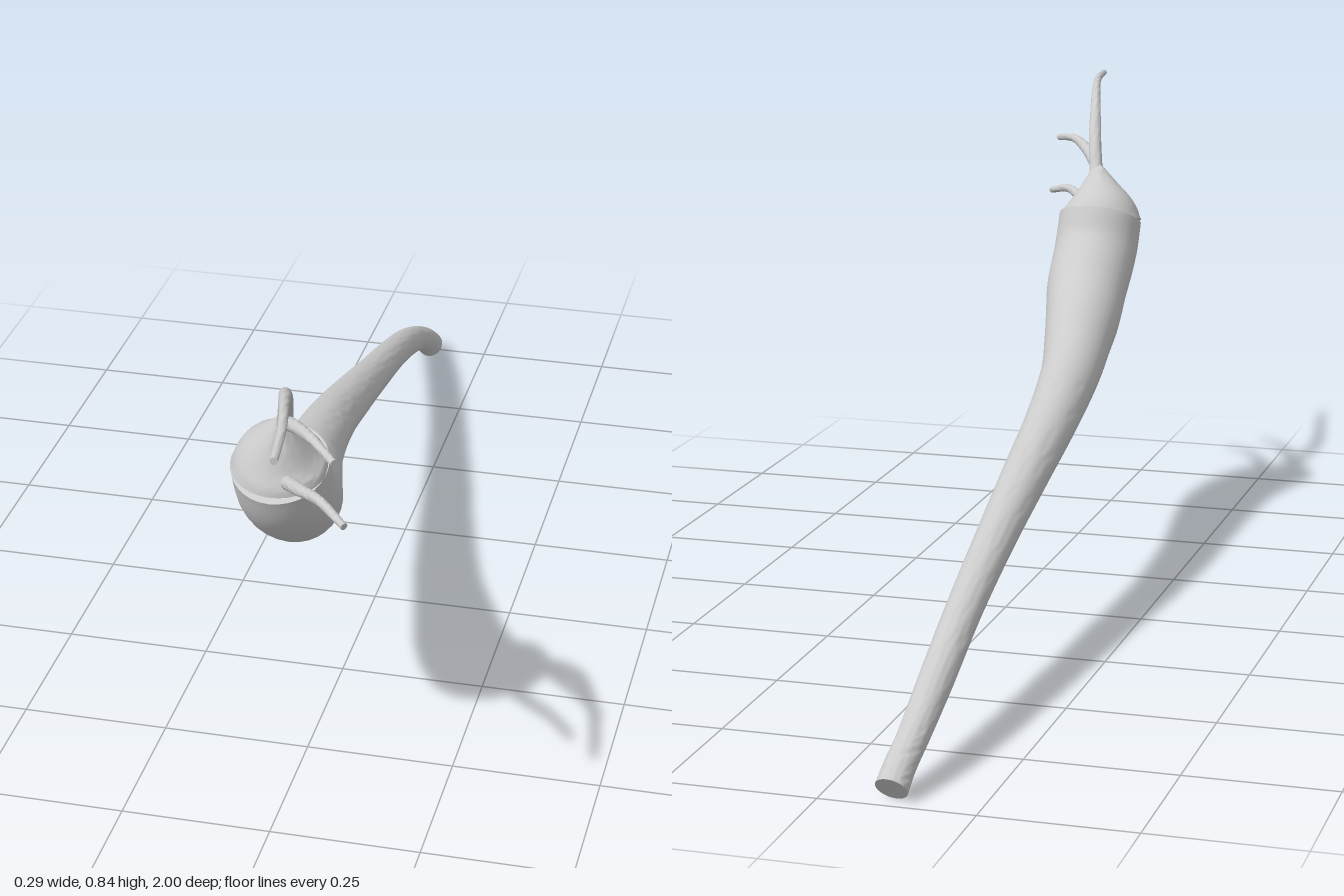
import * as THREE from 'three';
import { toCreasedNormals } from 'three/addons/utils/BufferGeometryUtils.js';

const material = new THREE.MeshStandardMaterial({ color: 0xcccccc });

// Sweeps a circle of changing radius along a smooth path of [x, y, z, radius] stations.
function sweep(name, stations, steps, sides) {
  const path = new THREE.CatmullRomCurve3(stations.map(([x, y, z]) => new THREE.Vector3(x, y, z)));
  const radii = new THREE.CatmullRomCurve3(
    stations.map(s => new THREE.Vector3(s[3], 0, 0)), false, 'catmullrom', 0.5);
  const positions = [], index = [];
  const xAxis = new THREE.Vector3(1, 0, 0);

  for (let i = 0; i <= steps; i++) {
    const t = i / steps;
    const centre = path.getPoint(t), tangent = path.getTangent(t), r = radii.getPoint(t).x;
    const up = new THREE.Vector3().crossVectors(tangent, xAxis).normalize();
    const side = new THREE.Vector3().crossVectors(up, tangent);
    for (let j = 0; j < sides; j++) {
      const a = j / sides * Math.PI * 2;
      const p = centre.clone().addScaledVector(side, r * Math.cos(a)).addScaledVector(up, r * Math.sin(a));
      positions.push(p.x, p.y, p.z);
    }
  }
  for (let i = 0; i < steps; i++) {
    for (let j = 0; j < sides; j++) {
      const k = (j + 1) % sides;
      const a = i * sides + j, b = i * sides + k, c = b + sides, d = a + sides;
      index.push(a, b, c, a, c, d);
    }
  }
  // flat end caps
  const start = positions.length / 3, end = start + 1, last = steps * sides;
  positions.push(...path.getPoint(0).toArray(), ...path.getPoint(1).toArray());
  for (let j = 0; j < sides; j++) {
    const k = (j + 1) % sides;
    index.push(start, k, j, end, last + j, last + k);
  }

  const geometry = new THREE.BufferGeometry();
  geometry.setAttribute('position', new THREE.Float32BufferAttribute(positions, 3));
  geometry.setIndex(index);
  const mesh = new THREE.Mesh(toCreasedNormals(geometry, 0.7), material);
  mesh.name = name;
  return mesh;
}

export function createModel() {
  const model = new THREE.Group();
  model.name = 'wormCreature';

  // long body, thin at the tail and swelling towards the upturned neck
  model.add(sweep('body', [
    [-0.112, 0.027, -0.982, 0.026],
    [-0.115, 0.052, -0.95, 0.025],
    [-0.119, 0.08, -0.9, 0.025],
    [-0.117, 0.13, -0.78, 0.028],
    [-0.108, 0.192, -0.6, 0.03],
    [-0.099, 0.25, -0.4, 0.034],
    [-0.092, 0.305, -0.2, 0.04],
    [-0.084, 0.356, 0, 0.046],
    [-0.065, 0.4, 0.2, 0.054],
    [-0.045, 0.428, 0.32, 0.062],
    [-0.028, 0.455, 0.42, 0.07],
    [-0.014, 0.495, 0.503, 0.076],
    [-0.011, 0.555, 0.577, 0.079],
    [-0.012, 0.61, 0.605, 0.079],
  ], 90, 32));

  // conical head above the rim
  model.add(sweep('head', [
    [-0.012, 0.61, 0.605, 0.079],
    [-0.011, 0.632, 0.611, 0.068],
    [-0.005, 0.668, 0.624, 0.039],
    [0.001, 0.7, 0.635, 0.014],
    [0.003, 0.712, 0.64, 0.005],
  ], 16, 32));

  // tapering feelers
  const feelers = {
    longFeeler: [
      [0.004, 0.695, 0.632, 0.013], [0.018, 0.755, 0.675, 0.012], [0.033, 0.805, 0.735, 0.01],
      [0.054, 0.831, 0.82, 0.008], [0.074, 0.838, 0.91, 0.007], [0.086, 0.838, 1, 0.006]],
    middleFeeler: [
      [0.004, 0.703, 0.64, 0.012], [0.035, 0.726, 0.69, 0.011],
      [0.08, 0.74, 0.752, 0.008], [0.125, 0.733, 0.803, 0.006]],
    lowerFeeler: [
      [0.014, 0.61, 0.663, 0.012], [0.05, 0.625, 0.71, 0.01],
      [0.092, 0.638, 0.758, 0.008], [0.14, 0.626, 0.803, 0.006]],
  };
  for (const [name, stations] of Object.entries(feelers)) model.add(sweep(name, stations, 32, 14));

  return model;
}
